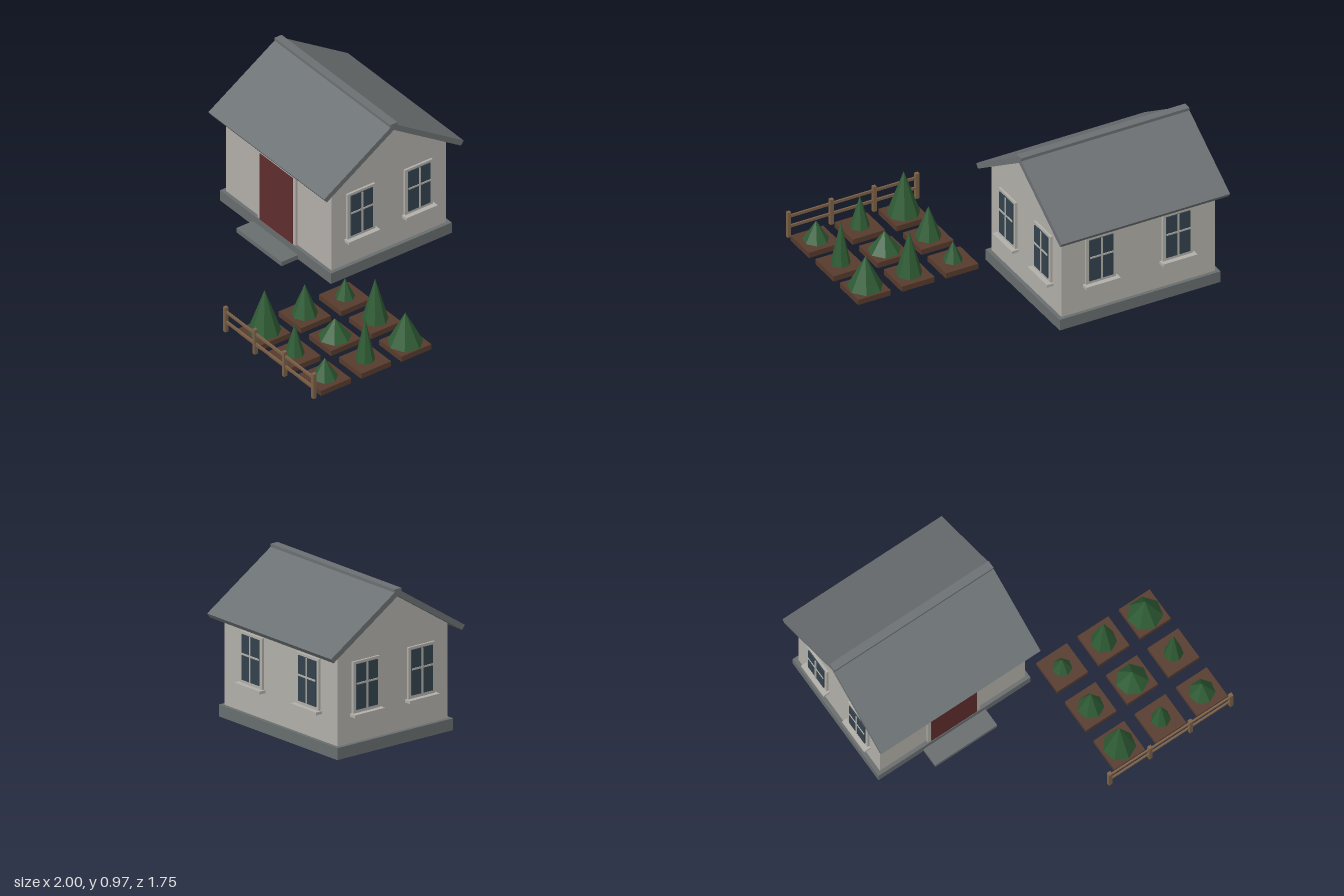
import * as THREE from 'three';

const mat = (name, color, flatShading = false) => {
  const m = new THREE.MeshStandardMaterial({ color, flatShading });
  m.name = name;
  return m;
};

export function createModel() {
  const wall = mat('plaster', 0xb2afa9);
  const slate = mat('slate', 0x6b7072);
  const stone = mat('stone', 0x686d6e);
  const doorRed = mat('doorRed', 0x5e2d2d);
  const glass = mat('glass', 0x33424d);
  const wood = mat('wood', 0x7b6046);
  const soil = mat('soil', 0x573b2d);
  const leaf = mat('leaf', 0x2f5c35, true);

  const model = new THREE.Group();
  model.name = 'cottageWithGarden';

  const add = (parent, name, geometry, material, x = 0, y = 0, z = 0) => {
    const mesh = new THREE.Mesh(geometry, material);
    mesh.name = name;
    mesh.position.set(x, y, z);
    parent.add(mesh);
    return mesh;
  };
  const box = (parent, name, material, w, h, d, x, y, z) =>
    add(parent, name, new THREE.BoxGeometry(w, h, d), material, x, y, z);

  // Extrudes a (z, y) outline along x, centred on x = 0
  const extrudeAlongX = (points, length) => {
    const shape = new THREE.Shape(points.map(([z, y]) => new THREE.Vector2(z, y)));
    return new THREE.ExtrudeGeometry(shape, { depth: length, bevelEnabled: false })
      .translate(0, 0, -length / 2)
      .rotateY(-Math.PI / 2);
  };

  // House, centred on its own ridge line
  const house = new THREE.Group();
  house.name = 'house';
  house.position.set(-0.435, 0, -0.363);
  model.add(house);

  const halfW = 0.515, halfD = 0.419, baseTop = 0.073;
  box(house, 'foundation', stone, 1.08, baseTop, 0.884, 0, baseTop / 2, 0);
  box(house, 'doorStep', stone, 0.44, 0.03, 0.121, 0, 0.015, 0.5025);
  add(house, 'walls', extrudeAlongX([
    [-halfD, baseTop], [halfD, baseTop], [halfD, 0.658], [0, 0.926], [-halfD, 0.658],
  ], halfW * 2), wall);
  add(house, 'roof', extrudeAlongX([
    [-0.51, 0.64], [-0.49, 0.612], [0, 0.925], [0.49, 0.612], [0.51, 0.64], [0, 0.966],
  ], 1.13), slate);
  box(house, 'ridgeCap', slate, 1.13, 0.03, 0.052, 0, 0.954, 0);

  // Front door
  box(house, 'doorFrame', wall, 0.37, 0.502, 0.015, 0, 0.324, halfD + 0.0075);
  box(house, 'door', doorRed, 0.32, 0.467, 0.009, 0, 0.3065, halfD + 0.0155);

  // Window facing local +z, standing on the wall plane
  const addWindow = (x, z, turn) => {
    const w = new THREE.Group();
    w.name = 'window';
    w.position.set(x, 0.413, z);
    w.rotation.y = turn;
    house.add(w);
    box(w, 'windowFrame', wall, 0.202, 0.318, 0.014, 0, 0, 0.007);
    box(w, 'windowPane', glass, 0.16, 0.28, 0.008, 0, 0.003, 0.017);
    box(w, 'uprightBar', wall, 0.011, 0.28, 0.005, 0, 0.003, 0.0225);
    box(w, 'crossBar', wall, 0.16, 0.011, 0.005, 0, 0.024, 0.0225);
    box(w, 'windowSill', wall, 0.23, 0.018, 0.045, 0, -0.167, 0.0225);
  };
  for (const s of [-1, 1]) {
    addWindow(halfW, s * 0.21, Math.PI / 2);
    addWindow(-halfW, s * 0.21, -Math.PI / 2);
    addWindow(s * 0.2575, -halfD, Math.PI);
  }

  // Garden beds, each with one conical tree
  const garden = new THREE.Group();
  garden.name = 'garden';
  model.add(garden);
  const heights = [0.165, 0.325, 0.245];
  const radii = [[0.06, 0.08, 0.108], [0.08, 0.1, 0.06], [0.1, 0.06, 0.08]];
  const bedTop = 0.036;
  for (let row = 0; row < 3; row++) {
    for (let col = 0; col < 3; col++) {
      const x = 0.3 + col * 0.294, z = 0.122 + row * 0.294;
      const h = heights[(col - row + 3) % 3] - bedTop;
      box(garden, 'plantBed', soil, 0.218, bedTop, 0.218, x, bedTop / 2, z);
      add(garden, 'tree', new THREE.ConeGeometry(radii[row][col], h, 7), leaf, x, bedTop + h / 2, z);
    }
  }

  // Fence along the front of the garden
  const fence = new THREE.Group();
  fence.name = 'fence';
  fence.position.set(0.556, 0, 0.863);
  model.add(fence);
  for (let i = 0; i < 4; i++)
    box(fence, 'fencePost', wood, 0.023, 0.172, 0.023, (i - 1.5) * 0.287, 0.086, 0);
  for (const y of [0.07, 0.14])
    box(fence, 'fenceRail', wood, 0.861, 0.017, 0.011, 0, y, 0);

  return model;
}
